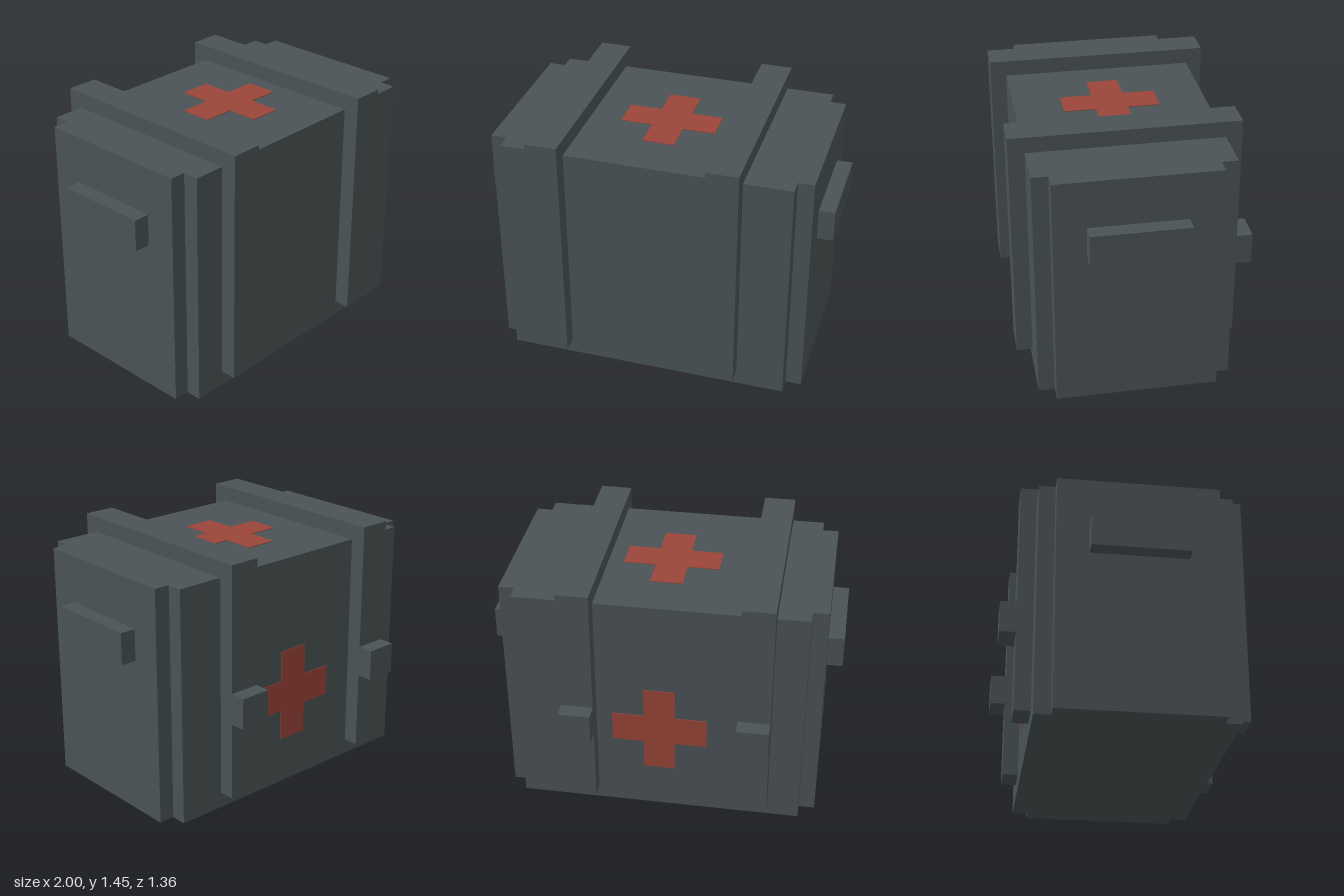
import * as THREE from 'three';

const U = 1 / 11;          // block unit the crate is laid out on
const MID_Z = U / 2;       // the crate body sits half a unit forward

export function createModel() {
  const model = new THREE.Group();
  model.name = 'medicalCrate';
  const grey = new THREE.MeshStandardMaterial({ color: 0x4b5356 });
  grey.name = 'slateGrey';
  const red = new THREE.MeshStandardMaterial({ color: 0x9b4539 });
  red.name = 'crossRed';

  const add = (name, geometry, material, x, y, z) => {
    const mesh = new THREE.Mesh(geometry, material);
    mesh.name = name;
    mesh.position.set(x, y, z);
    model.add(mesh);
    return mesh;
  };
  // box given by its limits in block units
  const block = (name, x0, x1, y0, y1, z0, z1) =>
    add(name, new THREE.BoxGeometry((x1 - x0) * U, (y1 - y0) * U, (z1 - z0) * U), grey,
      (x0 + x1) / 2 * U, (y0 + y1) / 2 * U, (z0 + z1) / 2 * U);

  // plus-shaped outline: full half sizes a x b, with corners cut in to c x d
  const plusShape = (a, b, c, d) => new THREE.Shape([
    [a, -d], [a, d], [c, d], [c, b], [-c, b], [-c, d],
    [-a, d], [-a, -d], [-c, -d], [-c, -b], [c, -b], [c, -d],
  ].map(([x, y]) => new THREE.Vector2(x * U, y * U)));
  const extrude = (shape, depth) =>
    new THREE.ExtrudeGeometry(shape, { depth, bevelEnabled: false });

  // body with notched vertical corners
  const body = extrude(plusShape(10, 6, 9, 5), 15 * U).rotateX(-Math.PI / 2);
  add('body', body, grey, 0, 0, MID_Z);

  // straps over the lid, each with a latch at the back
  for (const [side, x] of [['right', -7], ['left', 4]]) {
    block(side + 'Strap', x, x + 2, 1, 16, -6.5, 7.5);
    block(side + 'Latch', x, x + 2, 6, 8, -7.5, -6.5);
  }

  // carrying handles on both ends
  block('leftHandle', 10, 11, 10, 12, -2.5, 3.5);
  block('rightHandle', -11, -10, 10, 12, -2.5, 3.5);

  // painted crosses on the lid and the back
  const cross = extrude(plusShape(3, 3, 1, 1), 0.004);
  add('lidCross', cross, red, 0, 15 * U, MID_Z).rotation.x = -Math.PI / 2;
  add('backCross', cross, red, 0, 6 * U, -5.5 * U).rotation.y = Math.PI;

  // rest the straps and latches evenly about the centre
  return model;
}
